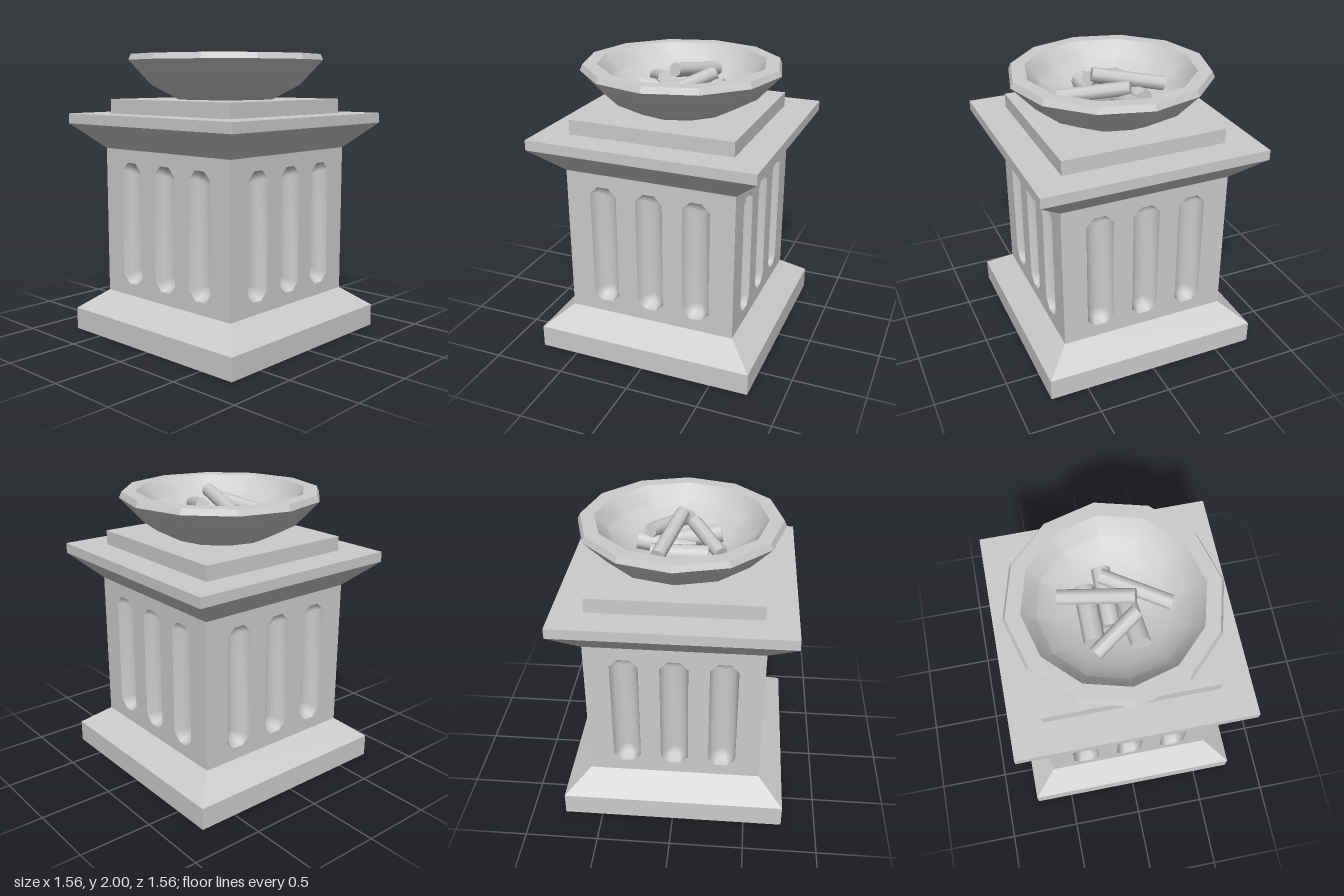
import * as THREE from 'three';
import { mergeVertices, toCreasedNormals } from 'three/addons/utils/BufferGeometryUtils.js';

const stone = new THREE.MeshStandardMaterial({ color: 0xcccccc, side: THREE.DoubleSide });

function add(parent, name, geometry) {
  const mesh = new THREE.Mesh(geometry, stone);
  mesh.name = name;
  parent.add(mesh);
  return mesh;
}

// Square moulding from [half width, height] pairs
function squareLoft(profile) {
  const pts = profile.map(([h, y]) => new THREE.Vector2(h * Math.SQRT2, y));
  const g = new THREE.LatheGeometry(pts, 4, Math.PI / 4).toNonIndexed();
  g.computeVertexNormals();
  return g;
}

// Flutes: capsule outline with octagonal ends
const HALF = 0.595, WALL_BOTTOM = 0.29, WALL_TOP = 1.325;
const FLUTE_Y = 0.805, CORE = 0.335, RADIUS = 0.1025, DEPTH = 0.08;
const FLUTES = [-0.33, 0, 0.33];

function fluteRing(scale) {
  return Array.from({ length: 8 }, (_, i) => {
    const a = Math.PI / 8 + i * Math.PI / 4;
    return new THREE.Vector2(
      RADIUS * scale * Math.cos(a),
      (i < 4 ? CORE : -CORE) + RADIUS * scale * Math.sin(a));
  });
}

function fluteGeometry() {
  const positions = [], index = [], rings = 4;
  for (let r = 0; r <= rings; r++) {
    const a = r / rings * Math.PI / 2;
    const scale = r === rings ? 0 : Math.cos(a);
    for (const p of fluteRing(scale)) positions.push(p.x, p.y, -DEPTH * Math.sin(a));
  }
  for (let r = 0; r < rings; r++) {
    for (let i = 0; i < 8; i++) {
      const a = r * 8 + i, b = r * 8 + (i + 1) % 8;
      index.push(a, b, b + 8, a, b + 8, a + 8);
    }
  }
  let g = new THREE.BufferGeometry();
  g.setAttribute('position', new THREE.Float32BufferAttribute(positions, 3));
  g.setIndex(index);
  g = mergeVertices(g);
  g.computeVertexNormals();
  return g;
}

function wallGeometry() {
  const shape = new THREE.Shape([
    new THREE.Vector2(-HALF, WALL_BOTTOM), new THREE.Vector2(HALF, WALL_BOTTOM),
    new THREE.Vector2(HALF, WALL_TOP), new THREE.Vector2(-HALF, WALL_TOP)]);
  for (const x of FLUTES) {
    const hole = fluteRing(1).map(p => p.add(new THREE.Vector2(x, FLUTE_Y)));
    shape.holes.push(new THREE.Path(hole));
  }
  return new THREE.ShapeGeometry(shape);
}

// Cylinder laid between two end points
function addLog(parent, from, to, radius) {
  const a = new THREE.Vector3(...from), b = new THREE.Vector3(...to);
  const g = new THREE.CylinderGeometry(radius, radius, a.distanceTo(b), 8);
  const log = add(parent, 'log', g);
  log.position.copy(a).add(b).multiplyScalar(0.5);
  log.quaternion.setFromUnitVectors(new THREE.Vector3(0, 1, 0), b.sub(a).normalize());
}

export function createModel() {
  const model = new THREE.Group();
  model.name = 'brazier';

  // Base, open underneath
  add(model, 'base', squareLoft([[0.765, 0], [0.765, 0.155], [HALF, WALL_BOTTOM]]));

  // Four fluted walls
  const wall = wallGeometry(), flute = fluteGeometry();
  for (let i = 0; i < 4; i++) {
    const side = new THREE.Group();
    side.name = 'flutedSide';
    side.rotation.y = i * Math.PI / 2;
    add(side, 'wall', wall).position.z = HALF;
    for (const x of FLUTES) add(side, 'flute', flute).position.set(x, FLUTE_Y, HALF);
    model.add(side);
  }

  // Flared cornice and stepped top slab
  add(model, 'cornice', squareLoft([[HALF, WALL_TOP], [0.78, 1.5], [0.78, 1.57], [0.57, 1.57]]));
  add(model, 'topSlab', squareLoft([[0.57, 1.57], [0.57, 1.67], [0, 1.67]]));

  // Twelve-sided bowl with a thick rim
  const bowl = [
    [0.34, 1.67], [0.53, 1.77], [0.688, 1.94], [0.67, 1.98], [0.575, 1.98],
    [0.49, 1.87], [0.37, 1.785], [0.2, 1.735], [0, 1.72],
  ].map(([x, y]) => new THREE.Vector2(x, y));
  add(model, 'bowl', toCreasedNormals(new THREE.LatheGeometry(bowl, 12), 0.45));

  // Heap of logs
  const logs = new THREE.Group();
  logs.name = 'logs';
  addLog(logs, [-0.19, 1.79, -0.16], [0.185, 1.79, -0.16], 0.068);
  addLog(logs, [-0.09, 1.76, -0.035], [0.285, 1.82, -0.035], 0.06);
  addLog(logs, [0.06, 1.77, 0.085], [-0.265, 1.82, 0.115], 0.066);
  addLog(logs, [-0.27, 1.81, -0.17], [-0.075, 1.89, 0.13], 0.048);
  addLog(logs, [0.125, 1.86, -0.335], [0, 1.952, 0.135], 0.048);
  addLog(logs, [-0.03, 1.82, 0.36], [0.2, 1.9, -0.055], 0.048);
  model.add(logs);

  return model;
}
